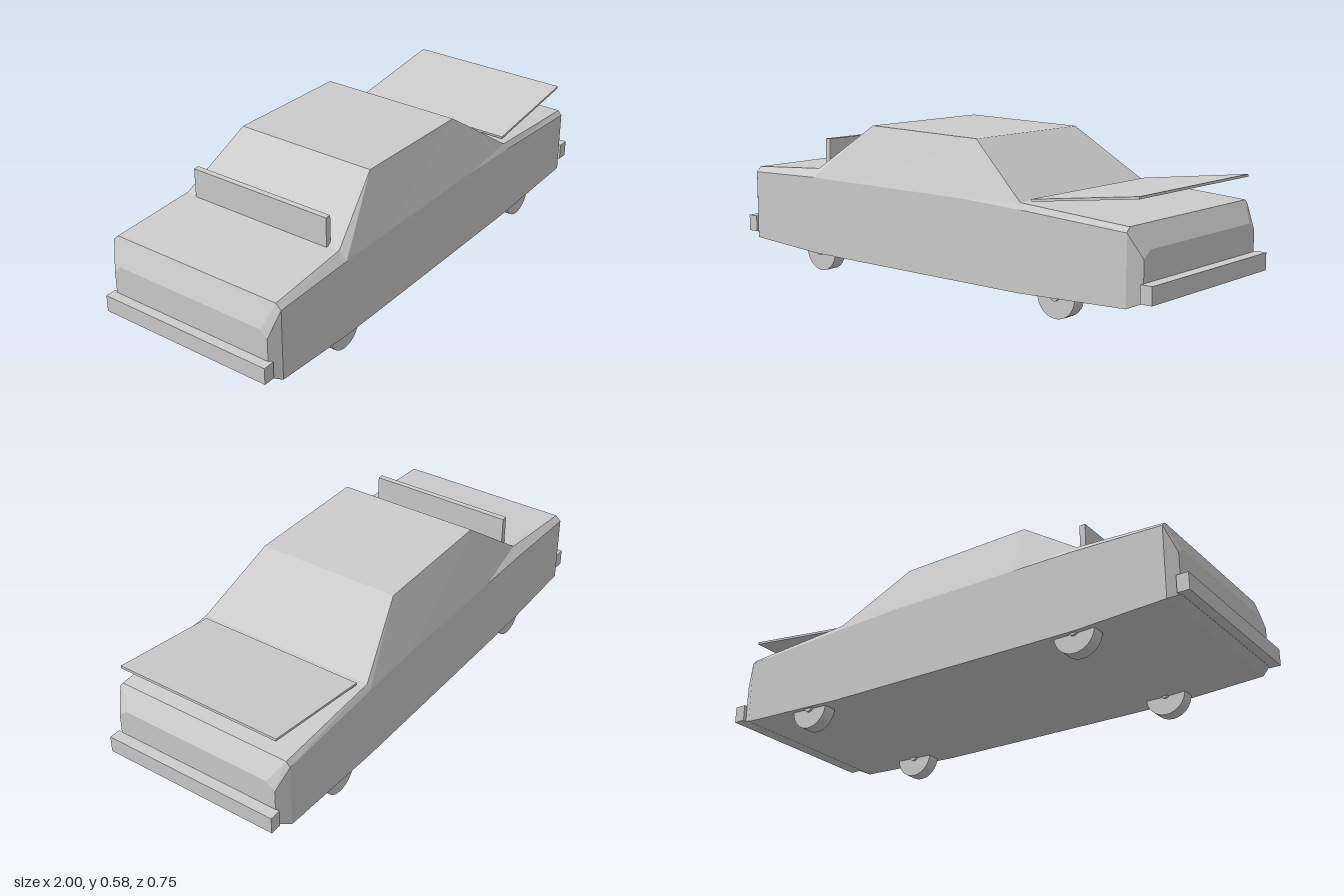
import * as THREE from 'three';

const paint = new THREE.MeshStandardMaterial({ color: 0xcccccc });
paint.name = 'light grey';

function add(parent, name, geometry, x, y, z) {
  const mesh = new THREE.Mesh(geometry, paint);
  mesh.name = name;
  mesh.position.set(x, y, z);
  parent.add(mesh);
  return mesh;
}

// Shell lofted along x: x, floor y, half width, belt y, top y, top half width
function shellGeometry() {
  const stations = [
    [-0.963, 0.107, 0.342, 0.26, 0.285, 0.315],
    [-0.925, 0.09, 0.372, 0.36, 0.38, 0.351],
    [-0.58, 0.071, 0.373, 0.37, 0.402, 0.342],
    [-0.33, 0.07, 0.373, 0.37, 0.583, 0.287],
    [0.195, 0.07, 0.373, 0.37, 0.573, 0.287],
    [0.46, 0.07, 0.373, 0.36, 0.382, 0.36],
    [0.91, 0.087, 0.372, 0.335, 0.353, 0.357],
    [0.957, 0.107, 0.342, 0.25, 0.278, 0.307],
  ];
  const rings = stations.map(([x, floor, w, belt, top, tw]) => [
    [x, floor, w], [x, belt, w], [x, top, tw],
    [x, top, -tw], [x, belt, -w], [x, floor, -w],
  ]);
  const pos = [];
  const tri = (a, b, c) => pos.push(...a, ...b, ...c);
  for (let i = 0; i < rings.length - 1; i++) {
    const p = rings[i], q = rings[i + 1];
    for (let k = 0; k < 6; k++) {
      const n = (k + 1) % 6;
      tri(p[k], q[k], q[n]);
      tri(p[k], q[n], p[n]);
    }
  }
  // End faces
  const rear = rings[0], nose = rings[rings.length - 1];
  for (let k = 1; k < 5; k++) {
    tri(rear[0], rear[k], rear[k + 1]);
    tri(nose[0], nose[k + 1], nose[k]);
  }
  const g = new THREE.BufferGeometry();
  g.setAttribute('position', new THREE.Float32BufferAttribute(pos, 3));
  g.computeVertexNormals();
  return g;
}

export function createModel() {
  const car = new THREE.Group();
  car.name = 'car';
  add(car, 'bodyShell', shellGeometry(), 0, 0, 0);

  // Bumpers at both ends
  const bumper = new THREE.BoxGeometry(0.045, 0.064, 0.714);
  add(car, 'frontBumper', bumper, 0.9775, 0.14, 0);
  add(car, 'rearBumper', bumper, -0.9775, 0.14, 0);

  // Raised bonnet lid and upright rear panel
  const lid = add(car, 'bonnetLid', new THREE.BoxGeometry(0.446, 0.009, 0.67), 0.709, 0.417, 0);
  lid.rotation.z = 0.125;
  add(car, 'rearPanel', new THREE.BoxGeometry(0.023, 0.125, 0.59), -0.578, 0.4525, 0);

  // Wheels with short hubs
  const tyre = new THREE.CylinderGeometry(0.08, 0.08, 0.054, 32).rotateX(Math.PI / 2);
  const hub = new THREE.CylinderGeometry(0.017, 0.017, 0.074, 16).rotateX(Math.PI / 2);
  for (const x of [-0.565, 0.61]) {
    for (const side of [-1, 1]) {
      const wheel = new THREE.Group();
      wheel.name = (x > 0 ? 'front' : 'rear') + (side > 0 ? 'Right' : 'Left') + 'Wheel';
      wheel.position.set(x, 0.08, side * 0.325);
      add(wheel, 'tyre', tyre, 0, 0, 0);
      add(wheel, 'hub', hub, 0, 0, 0);
      car.add(wheel);
    }
  }
  return car;
}
